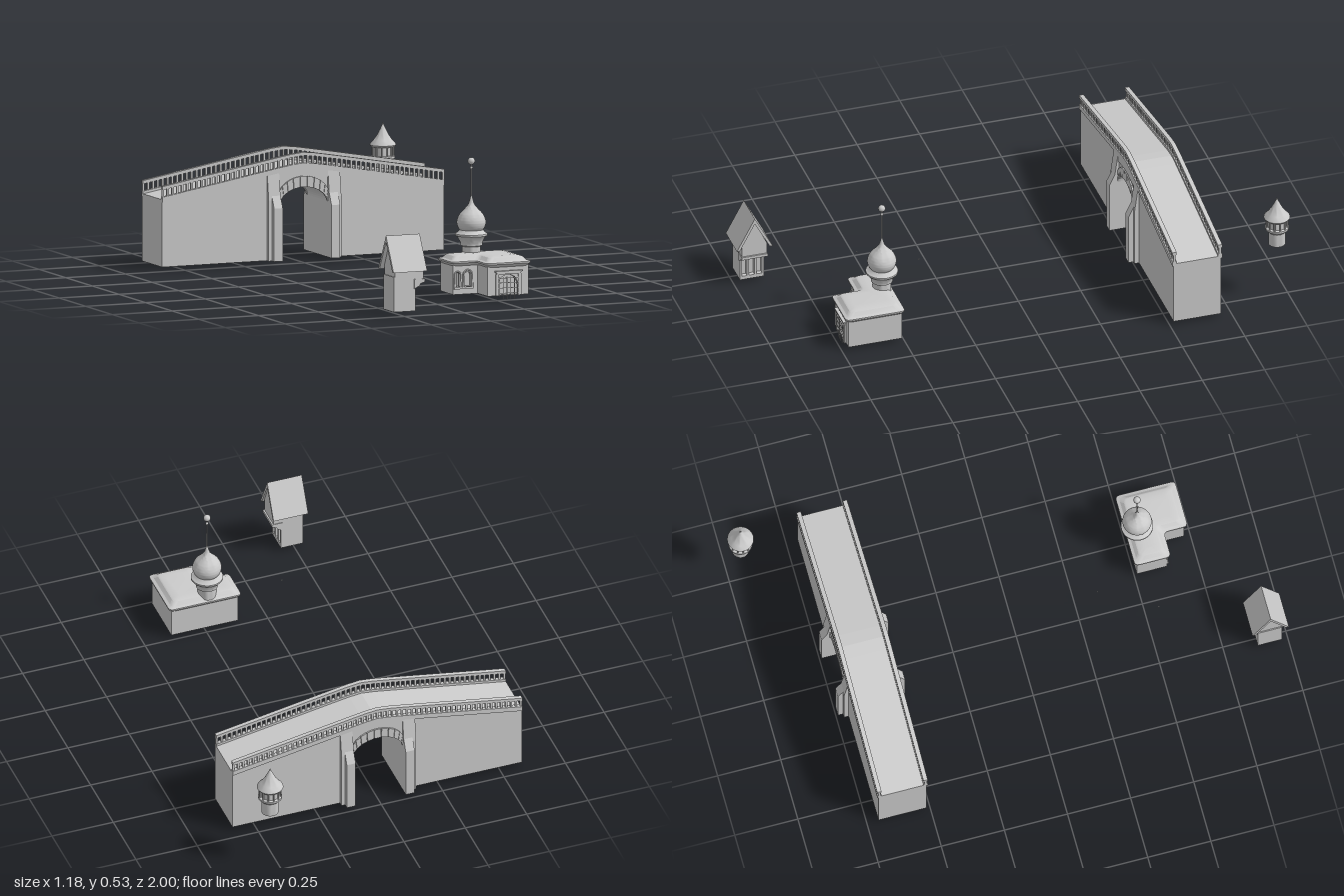
import * as THREE from 'three';
import { mergeGeometries, toCreasedNormals } from 'three/addons/utils/BufferGeometryUtils.js';

const grey = new THREE.MeshStandardMaterial({ color: 0xcccccc, side: THREE.DoubleSide });

function add(parent, name, geos) {
  const list = [].concat(geos).map((g) => {
    const n = g.index ? g.toNonIndexed() : g;
    n.deleteAttribute('uv');
    return n;
  });
  const mesh = new THREE.Mesh(mergeGeometries(list), grey);
  mesh.name = name;
  parent.add(mesh);
  return mesh;
}
function group(parent, name) {
  const g = new THREE.Group();
  g.name = name;
  parent.add(g);
  return g;
}
const poly = (pts) => new THREE.Shape(pts.map(([x, y]) => new THREE.Vector2(x, y)));

// Box from its limits
function box(x0, x1, y0, y1, z0, z1) {
  return new THREE.BoxGeometry(x1 - x0, y1 - y0, z1 - z0)
    .translate((x0 + x1) / 2, (y0 + y1) / 2, (z0 + z1) / 2);
}
// Front outline (x, y) extruded from z0 to z1
function alongZ(shape, z0, z1) {
  return new THREE.ExtrudeGeometry(shape, { depth: z1 - z0, bevelEnabled: false, curveSegments: 12 }).translate(0, 0, z0);
}
// Side outline (z, y) extruded from x0 to x1
function alongX(pts, x0, x1, holes = []) {
  const s = poly(pts.map(([z, y]) => [-z, y]));
  s.holes.push(...holes);
  return new THREE.ExtrudeGeometry(s, { depth: x1 - x0, bevelEnabled: false }).rotateY(Math.PI / 2).translate(x0, 0, 0);
}
// Round-headed opening
function archHole(cx, w, y0, top) {
  const p = new THREE.Path(), r = w / 2;
  p.moveTo(cx - r, y0).lineTo(cx + r, y0).lineTo(cx + r, top - r);
  p.absarc(cx, top - r, r, 0, Math.PI, false);
  p.closePath();
  return p;
}
function lathe(pts, x, z, n = 32) {
  const g = new THREE.LatheGeometry(pts.map(([r, y]) => new THREE.Vector2(r, y)), n);
  return toCreasedNormals(g, 0.7).translate(x, 0, z);
}

function buildBridge(root) {
  const g = group(root, 'bridge');
  const zB = -0.705, zF = -0.515, L = 0.59;
  // Sloping line, softened at the crown
  const slope = (x) => -0.176 * (Math.sqrt(x * x + 0.0006) - 0.0245);
  const xs = Array.from({ length: 25 }, (_, i) => -L + (i * 2 * L) / 24);
  const band = (y0, y1, half = L) => poly([
    ...xs.map((x) => [x * half / L, y0 + slope(x * half / L)]),
    ...xs.slice().reverse().map((x) => [x * half / L, y1 + slope(x * half / L)])]);
  // Arch curve, slightly pointed
  const archPt = (t, w, spring, rise) => {
    const a = Math.PI * t, s = Math.sin(a);
    return [w * Math.cos(a), spring + rise * Math.pow(s, 1.1)];
  };
  const opening = Array.from({ length: 21 }, (_, i) => archPt(1 - i / 20, 0.102, 0.232, 0.062));
  const body = [[-L, 0.015], [-0.102, 0.015], ...opening, [0.102, 0.015], [L, 0.015],
    ...xs.slice().reverse().map((x) => [x, 0.375 + slope(x)])];
  add(g, 'bridgeBody', alongZ(poly(body), zB, zF));

  const rails = [], stones = [], piers = [];
  for (const s of [-1, 1]) {
    const zo = s > 0 ? zF : zB;
    const z = (a, b) => (s > 0 ? [zo + a, zo + b] : [zo - b, zo - a]);
    // Parapet: curb, top rail and balusters
    rails.push(alongZ(band(0.365, 0.385), ...z(-0.012, 0.005)));
    rails.push(alongZ(band(0.413, 0.426), ...z(-0.012, 0.005)));
    for (let i = 0; i <= 58; i++) {
      const x = -0.586 + i * 1.172 / 58, y = slope(x), [a, b] = z(-0.008, 0.001);
      rails.push(box(x - 0.004, x + 0.004, 0.382 + y, 0.416 + y, a, b));
    }
    // Moulding over the arch
    rails.push(alongZ(band(0.338, 0.365, 0.14), ...z(-0.002, 0.004)));
    // Arch stones
    const n = 11;
    for (let i = 0; i < n; i++) {
      const t0 = (i + 0.04) / n, t1 = (i + 0.96) / n;
      stones.push(alongZ(poly([archPt(t0, 0.1, 0.23, 0.062), archPt(t0, 0.106, 0.262, 0.072),
        archPt(t1, 0.106, 0.262, 0.072), archPt(t1, 0.1, 0.23, 0.062)]), ...z(-0.005, 0.006)));
    }
    // Stepped buttresses beside the arch
    for (const m of [-1, 1]) {
      const pier = (a, b, d, yLow, yTop) => alongX(
        [[zo - s * 0.01, 0.015], [zo + s * d, 0.015], [zo + s * d, yLow], [zo + s * 0.004, yTop], [zo - s * 0.01, yTop]],
        m > 0 ? a : -b, m > 0 ? b : -a);
      piers.push(pier(0.102, 0.152, 0.018, 0.25, 0.35), pier(0.102, 0.138, 0.038, 0.22, 0.29));
    }
  }
  add(g, 'parapets', rails);
  add(g, 'archStones', stones);
  add(g, 'buttresses', piers);
}

// L-shaped plan with rounded corners, shrunk by d
function planL(d, r = 0.018) {
  const c = [[0.107 + d, 0.5 + d], [0.4 - d, 0.5 + d], [0.4 - d, 0.737 - d],
    [0.21 + d, 0.737 - d], [0.21 + d, 0.642 - d], [0.107 + d, 0.642 - d]].map((p) => new THREE.Vector2(...p));
  return c.flatMap((p, i) => {
    const a = c[(i + 5) % 6], b = c[(i + 1) % 6];
    const from = p.clone().add(a.clone().sub(p).setLength(r)), to = p.clone().add(b.clone().sub(p).setLength(r));
    return new THREE.QuadraticBezierCurve(from, p, to).getPoints(4);
  });
}
// Skin through L-shaped sections given as [inset, y]
function loftL(sections) {
  const pos = [], idx = [], n = planL(0).length;
  sections.forEach(([d, y]) => planL(d).forEach((p) => pos.push(p.x, y, p.y)));
  for (let k = 0; k < sections.length - 1; k++) for (let i = 0; i < n; i++) {
    const a = k * n + i, b = k * n + (i + 1) % n;
    idx.push(a, a + n, b, b, a + n, b + n);
  }
  const tri = THREE.ShapeUtils.triangulateShape(planL(sections.at(-1)[0]), []);
  const o = (sections.length - 1) * n;
  tri.forEach(([a, b, c]) => idx.push(o + a, o + c, o + b));
  const g = new THREE.BufferGeometry();
  g.setAttribute('position', new THREE.Float32BufferAttribute(pos, 3));
  g.setIndex(idx);
  g.computeVertexNormals();
  return toCreasedNormals(g, 0.5);
}

function buildChapel(root) {
  const g = group(root, 'domedHouse');
  // Walls with openings in front of a recessed core
  const wall = (x0, x1, z, holes) => {
    const s = poly([[x0, 0.015], [x1, 0.015], [x1, 0.14], [x0, 0.14]]);
    s.holes.push(...holes);
    return alongZ(s, z - 0.014, z);
  };
  add(g, 'houseWalls', [
    wall(0.118, 0.22, 0.63, [archHole(0.136, 0.02, 0.045, 0.1), archHole(0.178, 0.03, 0.045, 0.1)]),
    wall(0.22, 0.39, 0.725, [archHole(0.305, 0.086, 0.016, 0.095)]),
    box(0.118, 0.39, 0.015, 0.14, 0.51, 0.524), box(0.118, 0.132, 0.015, 0.14, 0.51, 0.63),
    box(0.376, 0.39, 0.015, 0.14, 0.51, 0.725), box(0.22, 0.234, 0.015, 0.14, 0.616, 0.725)]);
  add(g, 'houseCore', loftL([[0.034, 0.015], [0.034, 0.14]]));
  add(g, 'houseRoof', loftL([[0.012, 0.125], [0.004, 0.132], [0, 0.137], [0, 0.143], [0.012, 0.147], [0.024, 0.16], [0.03, 0.162], [0.05, 0.165]]));
  // Window frames, columns, sills and door surround
  const trim = [box(0.12, 0.2, 0.036, 0.044, 0.628, 0.637), box(0.255, 0.355, 0.098, 0.106, 0.72, 0.734),
    box(0.248, 0.362, 0.106, 0.111, 0.72, 0.737)];
  for (const x of [0.123, 0.149, 0.16, 0.197]) trim.push(new THREE.CylinderGeometry(0.003, 0.004, 0.05, 10).translate(x, 0.068, 0.632));
  for (const [x, r] of [[0.136, 0.013], [0.178, 0.018]])
    trim.push(new THREE.TorusGeometry(r, 0.003, 6, 16, Math.PI).translate(x, 0.09, 0.631));
  for (const x of [0.258, 0.352]) trim.push(box(x - 0.006, x + 0.006, 0.015, 0.098, 0.72, 0.732));
  add(g, 'openingTrim', trim);
  // Gate grille
  const bars = [];
  for (let i = 0; i < 6; i++) {
    const x = 0.267 + i * 0.0155;
    bars.push(box(x - 0.001, x + 0.001, i % 5 ? 0 : 0.012, 0.088, 0.731, 0.733));
  }
  for (const y of [0.025, 0.045, 0.065, 0.083]) bars.push(box(0.262, 0.35, y - 0.001, y + 0.001, 0.731, 0.733));
  add(g, 'gateGrille', bars);
  // Drum, onion dome, rod and ball
  const x = 0.233, z = 0.542;
  add(g, 'drum', lathe([[0.036, 0.14], [0.036, 0.186], [0.042, 0.19], [0.042, 0.2], [0.046, 0.208],
    [0.054, 0.222], [0.062, 0.228], [0.062, 0.235], [0.052, 0.24], [0.045, 0.25]], x, z));
  const onion = new THREE.SplineCurve([[0.042, 0.246], [0.052, 0.26], [0.056, 0.282], [0.046, 0.308],
    [0.026, 0.33], [0.011, 0.35], [0.003, 0.38]].map((p) => new THREE.Vector2(...p)));
  add(g, 'onionDome', lathe(onion.getPoints(28).map((p) => [p.x, p.y]), x, z));
  add(g, 'finial', [new THREE.CylinderGeometry(0.0025, 0.003, 0.14, 10).translate(x, 0.435, z),
    new THREE.SphereGeometry(0.006, 14, 10).translate(x, 0.488, z),
    new THREE.SphereGeometry(0.014, 20, 14).translate(x, 0.514, z)]);
}

function buildGableHouse(root) {
  const g = group(root, 'gabledHut');
  const zc = 0.928;
  // Lower room with an arcaded face, overhanging upper room
  add(g, 'hutBody', [box(-0.284, -0.21, 0.015, 0.15, zc - 0.048, zc + 0.048),
    alongX([[zc - 0.048, 0.015], [zc + 0.048, 0.015], [zc + 0.048, 0.15], [zc - 0.048, 0.15]], -0.21, -0.193,
      [-1, 0, 1].map((i) => archHole(-zc + i * 0.03, 0.021, 0.03, 0.115)))]);
  add(g, 'hutUpperRoom', alongX([[zc - 0.05, 0.13], [zc + 0.05, 0.13], [zc + 0.05, 0.185], [zc, 0.285], [zc - 0.05, 0.185]], -0.28, -0.162));
  add(g, 'hutCorbel', alongZ(poly([[-0.2, 0.1], [-0.188, 0.107], [-0.178, 0.112], [-0.174, 0.12], [-0.156, 0.126], [-0.156, 0.138], [-0.2, 0.138]]), zc - 0.052, zc + 0.052));
  // Steep roof
  add(g, 'hutRoof', alongX([[zc - 0.072, 0.17], [zc - 0.06, 0.17], [zc, 0.282], [zc + 0.06, 0.17],
    [zc + 0.072, 0.17], [zc, 0.305]], -0.296, -0.155));
}

function buildTurret(root) {
  const g = group(root, 'turret');
  const x = 0.527, z = -0.949;
  add(g, 'turretShaft', lathe([[0, 0.25], [0.033, 0.25], [0.033, 0.305], [0.038, 0.31], [0.046, 0.318], [0.046, 0.326], [0.036, 0.328], [0.036, 0.365]], x, z, 24));
  // Posts around the gallery
  add(g, 'turretPosts', Array.from({ length: 12 }, (_, i) => {
    const a = (i / 12) * Math.PI * 2;
    return new THREE.CylinderGeometry(0.0035, 0.0035, 0.04, 8).translate(x + 0.041 * Math.cos(a), 0.345, z + 0.041 * Math.sin(a));
  }));
  add(g, 'turretRoof', lathe([[0.034, 0.36], [0.046, 0.362], [0.051, 0.369], [0.049, 0.374], [0.036, 0.388],
    [0.022, 0.408], [0.01, 0.432], [0.003, 0.448], [0, 0.457]], x, z, 24));
}

export function createModel() {
  const root = new THREE.Group();
  root.name = 'bridgeVillage';
  buildBridge(root);
  buildChapel(root);
  buildGableHouse(root);
  buildTurret(root);
  // Two tiny floating beads
  for (const [x, z] of [[0.047, 0.335], [-0.073, 0.545]])
    add(root, 'bead', new THREE.SphereGeometry(0.003, 10, 8).translate(x, 0.132, z));
  return root;
}
